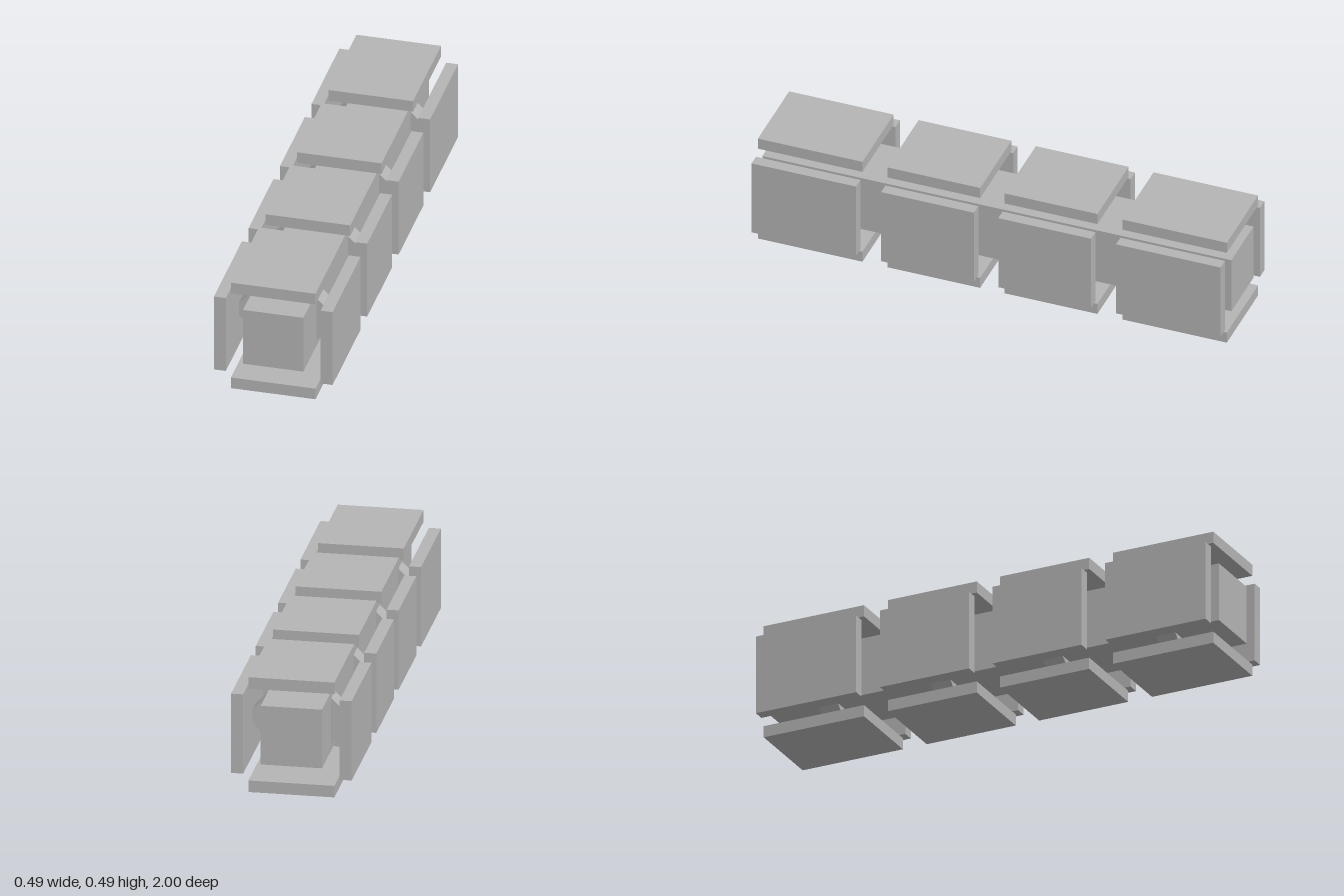
import * as THREE from 'three';

export function createModel() {
  const group = new THREE.Group();
  const grey = new THREE.MeshStandardMaterial({ color: 0xb4b4b4 });
  grey.name = 'grey';
  const midY = 0.244;

  function box(name, w, h, d, x, y, z) {
    const mesh = new THREE.Mesh(new THREE.BoxGeometry(w, h, d), grey);
    mesh.name = name;
    mesh.position.set(x, y, z);
    group.add(mesh);
    return mesh;
  }

  // Square beam running the full length
  box('coreBeam', 0.248, 0.249, 2, 0, midY + 0.001, 0);

  // Each bay: [panel centre, panel length, bracket centre], mirrored front to back
  for (const [panelZ, length, bracketZ] of [[0.777, 0.446, 0.75], [0.25, 0.396, 0.25]]) {
    for (const s of [1, -1]) {
      // Square bracket turned on its corner, its tips set into the panels
      const side = 0.222 * Math.SQRT2;
      box('bracket', side, side, 0.086, 0, midY + 0.001, s * bracketZ).rotation.z = Math.PI / 4;

      // Four outer panels
      for (const t of [1, -1]) {
        box(t > 0 ? 'topPanel' : 'bottomPanel', 0.348, 0.049, length, 0, midY + t * 0.2195, s * panelZ);
        box(t > 0 ? 'leftPanel' : 'rightPanel', 0.049, 0.337, length, t * 0.2195, midY + 0.001, s * panelZ);
      }
    }
  }
  return group;
}
